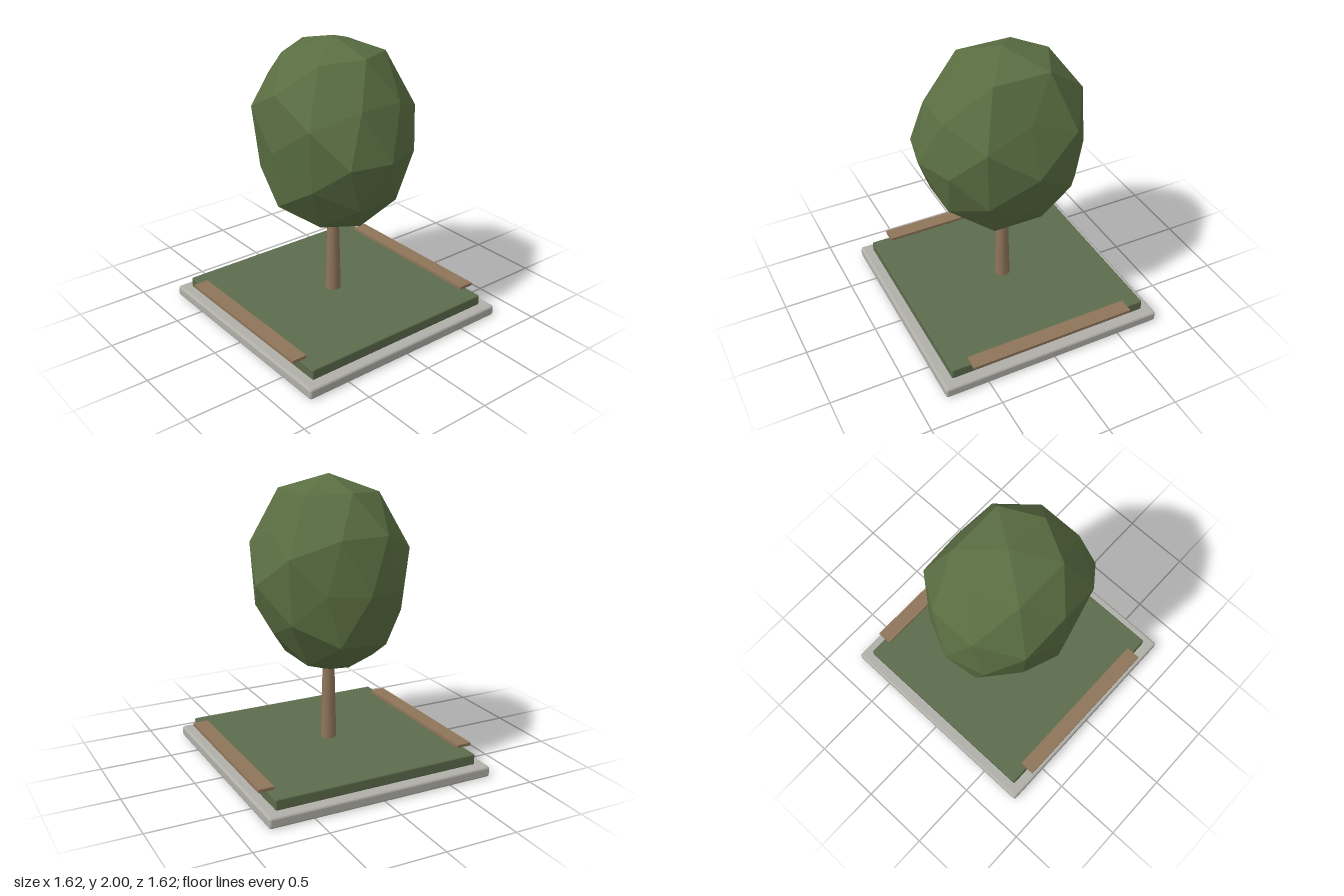
import * as THREE from 'three';
import { RoundedBoxGeometry } from 'three/addons/geometries/RoundedBoxGeometry.js';

const paint = (color, flatShading = false) => new THREE.MeshStandardMaterial({ color, flatShading });

function add(group, name, geometry, material, x, y, z) {
  const mesh = new THREE.Mesh(geometry, material);
  mesh.name = name;
  mesh.position.set(x, y, z);
  group.add(mesh);
  return mesh;
}

// Bumps of the crown: direction and radius factor; rows with x > 0 also serve -x
// unless that side has a row of its own.
const BUMPS = [
  [1, 0, 0, 1.008], [-1, 0, 0, 0.992], [0, 1, 0, 1.02], [0, -1, 0, 0.955],
  [0, 0, 1, 0.98], [0, 0, -1, 1.04],
  [0.53, 0.85, 0, 1.05], [0.53, -0.85, 0, 0.94],
  [0, 0.53, 0.85, 1.08], [0, -0.53, 0.85, 1.06],
  [0, 0.53, -0.85, 0.95], [0, -0.53, -0.85, 0.945],
  [0.85, 0, -0.53, 0.995], [-0.85, 0, -0.53, 0.935],
  [0.85, 0, 0.53, 1.06], [-0.85, 0, 0.53, 1.007],
  [0.5, 0.31, 0.81, 1.06], [0.5, -0.31, 0.81, 0.965],
  [0.5, 0.31, -0.81, 1.06], [0.5, -0.31, -0.81, 1.0],
  [-0.81, 0.5, 0.31, 1.045], [-0.81, 0.5, -0.31, 1.04],
  [-0.81, -0.5, 0.31, 1.03], [-0.81, -0.5, -0.31, 1.0],
  [0.81, -0.5, 0.31, 0.97], [0.81, -0.5, -0.31, 0.97],
  [0.31, 0.81, 0.5, 1.06], [0.31, 0.81, -0.5, 1.075],
  [0.31, -0.81, 0.5, 0.96], [0.31, -0.81, -0.5, 0.965],
];

function bump(x, y, z) {
  const find = (sx) => BUMPS.find((b) => Math.hypot(b[0] - sx, b[1] - y, b[2] - z) < 0.1);
  const row = find(x) || find(Math.abs(x));
  return row ? row[3] : 1;
}

// Faceted, slightly irregular ellipsoid
function crownGeometry() {
  const geometry = new THREE.IcosahedronGeometry(1, 1);
  const p = geometry.attributes.position;
  for (let i = 0; i < p.count; i++) {
    const x = p.getX(i), y = p.getY(i), z = p.getZ(i);
    const f = bump(x, y, z);
    p.setXYZ(i, x * 0.6 * f, y * 0.686 * f, z * 0.51 * f);
  }
  geometry.computeVertexNormals();
  return geometry;
}

export function createModel() {
  const group = new THREE.Group();
  group.name = 'planterTree';
  const wood = paint(0x8f755a);

  // Stone plinth and planted bed
  add(group, 'plinth', new RoundedBoxGeometry(1.62, 0.075, 1.62, 2, 0.018), paint(0xb0afa8), 0, 0.0375, 0);
  add(group, 'bed', new RoundedBoxGeometry(1.47, 0.075, 1.47, 2, 0.01), paint(0x5c6b4c), 0, 0.1125, 0);

  // Bench planks along the front and back edges
  for (const [name, side] of [['frontPlank', 1], ['backPlank', -1]]) {
    add(group, name, new THREE.BoxGeometry(1.2, 0.022, 0.108), wood, 0, 0.16, side * 0.738);
  }

  // Tree
  add(group, 'trunk', new THREE.CylinderGeometry(0.04, 0.055, 0.58, 12), wood, 0, 0.43, 0);
  add(group, 'crown', crownGeometry(), paint(0x5a6e42, true), 0, 1.3, 0);

  return group;
}
